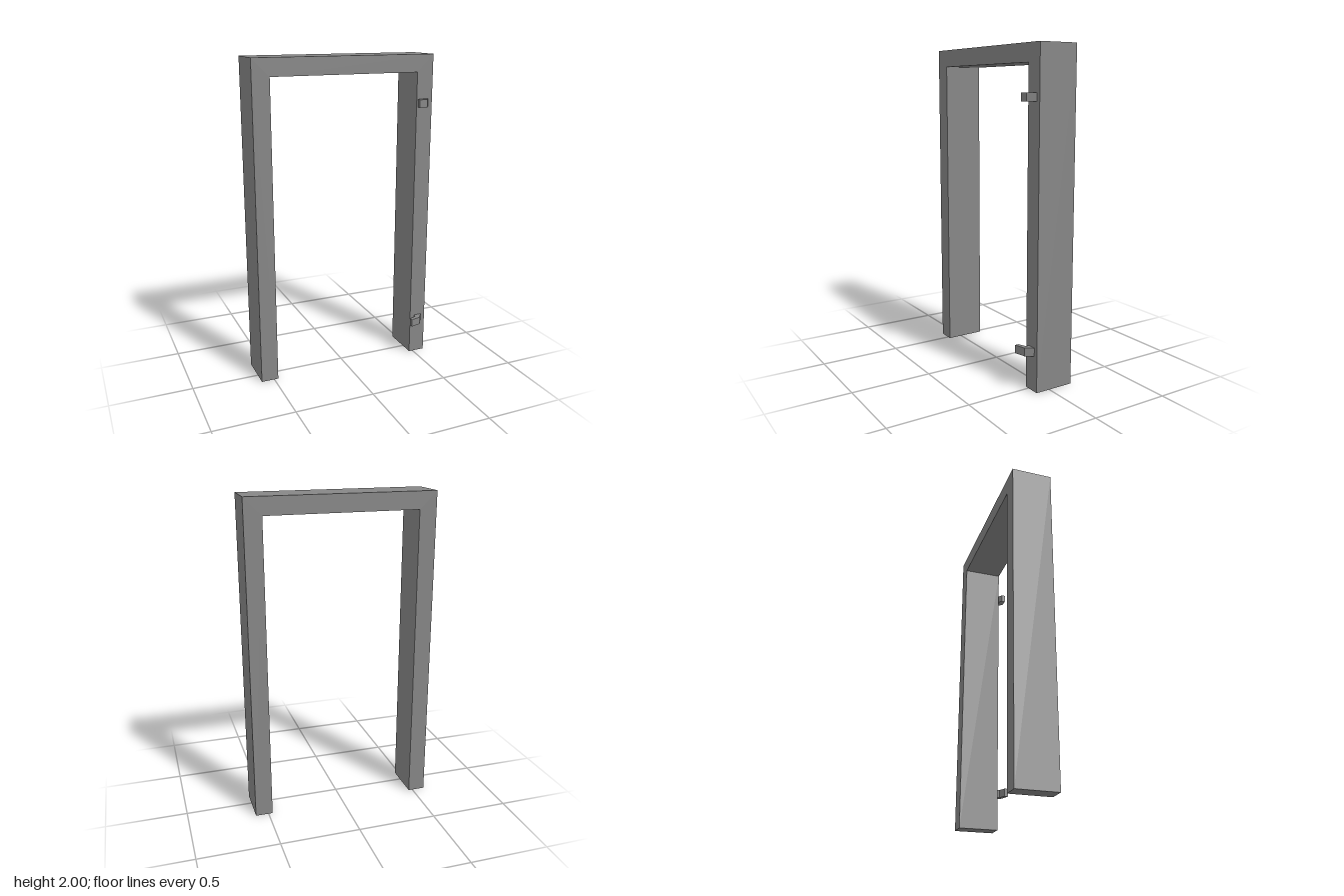
import * as THREE from 'three';

const material = new THREE.MeshStandardMaterial({ color: 0x868686, flatShading: true });

function outline(points) {
  return new THREE.Shape(points.map(([x, y]) => new THREE.Vector2(x, y)));
}

// Bent hinge leaf: plan points are [x, z], extruded upwards from y
function hinge(name, plan, y, height) {
  const shape = outline(plan.map(([x, z]) => [x, -z]));
  const geometry = new THREE.ExtrudeGeometry(shape, { depth: height, bevelEnabled: false });
  geometry.rotateX(-Math.PI / 2);
  const mesh = new THREE.Mesh(geometry, material);
  mesh.name = name;
  mesh.position.y = y;
  return mesh;
}

export function createModel() {
  const model = new THREE.Group();
  model.name = 'doorFrame';

  // Two jambs and a lintel in one continuous profile
  const outer = 0.582, inner = 0.474, top = 2, head = 1.892;
  const back = -0.158, front = 0.092;
  const profile = outline([
    [-outer, 0], [-inner, 0], [-inner, head], [inner, head],
    [inner, 0], [outer, 0], [outer, top], [-outer, top],
  ]);
  const geometry = new THREE.ExtrudeGeometry(profile, { depth: front - back, bevelEnabled: false });
  geometry.translate(0, 0, back);
  const frame = new THREE.Mesh(geometry, material);
  frame.name = 'frame';
  model.add(frame);

  // Hinges on the left jamb; the lower one is bent further open
  const root = [[0.505, 0.09], [0.556, 0.09], [0.523, 0.139]];
  model.add(hinge('upperHinge', [...root, [0.47, 0.139], [0.47, 0.115]], 1.679, 0.049));
  model.add(hinge('lowerHinge', [...root, [0.452, 0.158], [0.452, 0.134], [0.498, 0.115]], 0.217, 0.05));

  return model;
}
